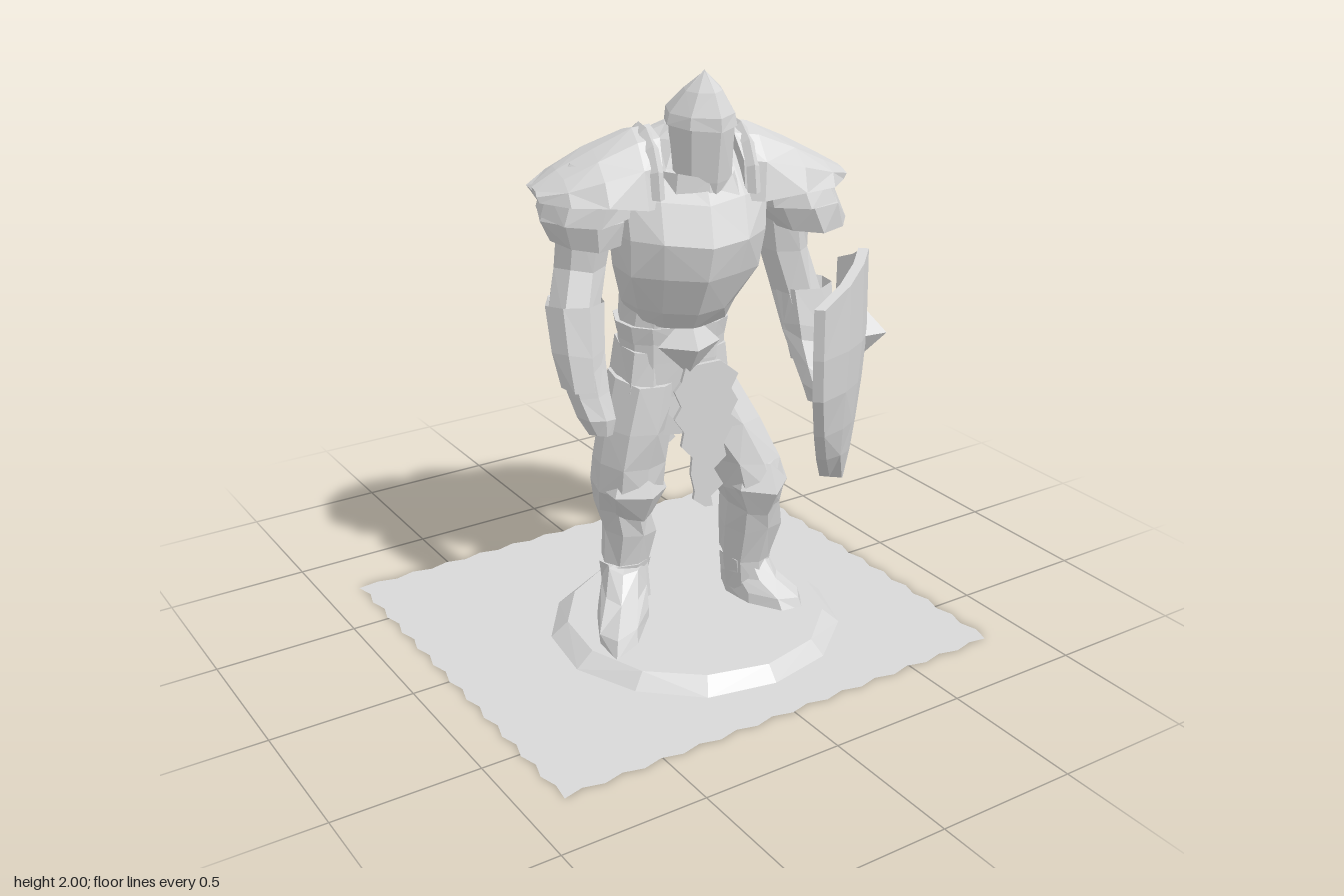
import * as THREE from 'three';

const stone = new THREE.MeshStandardMaterial({ color: 0xd8d8d8, flatShading: true, side: THREE.DoubleSide });
stone.name = 'grey stone';

// Small seeded generator for hand-hewn irregularity
let seed = 7;
const rnd = () => (seed = (seed * 16807) % 2147483647) / 2147483647 - 0.5;

function add(parent, name, geometry) {
  const m = new THREE.Mesh(geometry, stone);
  m.name = name;
  parent.add(m);
  return m;
}

function addGroup(parent, name, x, z, yaw) {
  const g = new THREE.Group();
  g.name = name;
  g.position.set(x, 0, z);
  g.rotation.y = yaw;
  parent.add(g);
  return g;
}

// Skin a list of closed point rings (bottom to top)
function skin(rings, caps = true) {
  const pos = [], idx = [], n = rings[0].length;
  rings.forEach(r => r.forEach(p => pos.push(...p)));
  for (let i = 0; i < rings.length - 1; i++) for (let k = 0; k < n; k++) {
    const a = i * n + k, b = i * n + (k + 1) % n;
    if ((i + k) % 2) idx.push(a, b, a + n, b, b + n, a + n);
    else idx.push(a, b, b + n, a, b + n, a + n);
  }
  if (caps) [0, rings.length - 1].forEach((i, top) => {
    const c = [0, 1, 2].map(j => rings[i].reduce((s, p) => s + p[j], 0) / n);
    const ci = pos.length / 3;
    pos.push(...c);
    for (let k = 0; k < n; k++) {
      const a = i * n + k, b = i * n + (k + 1) % n;
      top ? idx.push(a, b, ci) : idx.push(b, a, ci);
    }
  });
  const g = new THREE.BufferGeometry();
  g.setAttribute('position', new THREE.Float32BufferAttribute(pos, 3));
  g.setIndex(idx);
  const flat = g.toNonIndexed();
  flat.computeVertexNormals();
  return flat;
}

// Loft through level ovals [x, y, z, rx, rz]; ridge pulls the front point out, square < 1 makes ovals boxier
function loft(rows, { n = 8, caps = true, ridge = 0, rough = 0.12, square = 1 } = {}) {
  const bend = v => Math.sign(v) * Math.abs(v) ** square;
  return skin(rows.map(([x, y, z, rx, rz = rx]) => Array.from({ length: n }, (_, k) => {
    const a = k / n * Math.PI * 2, w = 1 + rnd() * rough;
    return [x + rx * w * bend(Math.sin(a)), y + rnd() * rough * 0.15,
      z + rz * w * bend(Math.cos(a)) + (k ? 0 : ridge * rz)];
  })), caps);
}

// Thin ragged sheet from half-widths [y, w]
function raggedCloth(rows, cx) {
  const pts = [];
  const side = (list, s) => list.forEach(([y, w], i) =>
    pts.push(new THREE.Vector2(cx + s * (w + (i % 2 ? 0.015 : -0.01)), y + rnd() * 0.02)));
  side(rows, 1);
  side([...rows].reverse(), -1);
  return new THREE.ExtrudeGeometry(new THREE.Shape(pts), { depth: 0.015, bevelEnabled: false });
}

function buildBase(g) {
  // Ground sheet with wavering edges
  const pts = [], corners = [[-0.86, -0.765], [0.85, -0.765], [0.85, 0.765], [-0.86, 0.765]];
  corners.forEach((c, i) => {
    const d = corners[(i + 1) % 4];
    for (let k = 0; k < 24; k++) {
      const t = k / 24, j = k % 2 ? 0.01 : -0.008;
      pts.push(new THREE.Vector2(c[0] + (d[0] - c[0]) * t + (i % 2 ? j : 0), c[1] + (d[1] - c[1]) * t + (i % 2 ? 0 : j)));
    }
  });
  add(g, 'groundSheet', new THREE.ShapeGeometry(new THREE.Shape(pts))).rotation.x = -Math.PI / 2;
  // Bevelled round plinth
  add(g, 'plinth', loft([[0.05, 0.003, 0.11, 0.52, 0.5], [0.05, 0.055, 0.11, 0.46, 0.45]], { n: 13, rough: 0.02 }));
}

function buildLegs(g) {
  const legs = {
    right: [[-0.115, 0.08, -0.09, 0.085, 0.09], [-0.115, 0.2, -0.1, 0.08, 0.085], [-0.1, 0.34, -0.09, 0.095, 0.105],
      [-0.13, 0.44, -0.085, 0.09, 0.11], [-0.14, 0.54, -0.03, 0.12, 0.14], [-0.14, 0.64, -0.02, 0.11, 0.135],
      [-0.12, 0.78, -0.01, 0.115, 0.14], [-0.09, 0.95, 0, 0.11, 0.14]],
    left: [[0.29, 0.08, 0.08, 0.08, 0.09], [0.28, 0.2, 0.085, 0.085, 0.09], [0.285, 0.35, 0.11, 0.105, 0.11],
      [0.26, 0.45, 0.14, 0.09, 0.11], [0.245, 0.54, 0.16, 0.115, 0.135], [0.225, 0.64, 0.15, 0.115, 0.13],
      [0.16, 0.78, 0.09, 0.125, 0.14], [0.1, 0.95, 0.03, 0.11, 0.14]],
  };
  for (const [side, rows] of Object.entries(legs)) {
    add(g, side + 'Leg', loft(rows, { n: 8, square: 0.85 }));
    // Pointed knee guard
    const [x, y, z, rx, rz] = rows[4];
    add(g, side + 'KneeGuard', loft([[x, y - 0.1, z + 0.04, 0.06], [x, y, z + 0.03, rx, rz * 0.9],
      [x, y + 0.1, z + 0.03, 0.08]], { n: 6, ridge: 0.1 }));
    // Boot with sloping toe and ankle cuff
    const right = side === 'right', reach = right ? 1.55 : 0.95;
    const foot = add(g, side + 'Boot', loft([[0, 0.04, 0.09, 0.095, 0.19], [0, 0.09, 0.08, 0.09, 0.165],
      [0, 0.14, 0.03, 0.08, 0.11], [0, 0.21, 0, 0.07, 0.08]].map(([x, y, z, rx, rz]) => [x, y, z * reach, rx, rz * reach])));
    foot.position.set(rows[0][0], 0, rows[0][2]);
    foot.rotation.y = right ? -0.62 : 0.35;
    add(g, side + 'AnkleCuff', loft([[rows[1][0], 0.16, rows[1][2], 0.085], [rows[1][0], 0.22, rows[1][2], 0.095]], { n: 7 }));
  }
}

function buildWaist(model) {
  const g = addGroup(model, 'waist', 0.01, 0.01, -0.2);
  add(g, 'hips', loft([[0.01, 0.76, 0.02, 0.15, 0.11], [0, 0.9, 0, 0.185, 0.13], [0, 1.02, 0, 0.18, 0.135],
    [0, 1.14, 0, 0.18, 0.14], [0, 1.24, 0.01, 0.17, 0.145]], { n: 12, square: 0.75, rough: 0.05 }));
  add(g, 'belt', loft([[0, 1.09, 0, 0.185, 0.142], [0, 1.15, 0, 0.195, 0.15]], { n: 12, square: 0.75, rough: 0.03 }));
  // Diamond belt plate
  const plate = add(g, 'beltPlate', new THREE.OctahedronGeometry(1));
  plate.scale.set(0.11, 0.11, 0.08);
  plate.position.set(0, 1.1, 0.17);
  // Hip guards
  for (const s of [-1, 1]) {
    add(g, s < 0 ? 'rightHipGuard' : 'leftHipGuard', loft([[s * 0.13, 0.79, 0.01, 0.09, 0.13],
      [s * 0.115, 0.92, 0, 0.09, 0.13], [s * 0.1, 1.06, 0, 0.085, 0.125]], { square: 0.8 }));
  }
  // Ragged loincloths
  const front = [[1.02, 0.06], [0.97, 0.1], [0.93, 0.1], [0.88, 0.1], [0.83, 0.1], [0.78, 0.09], [0.73, 0.075],
    [0.68, 0.06], [0.63, 0.04], [0.57, 0.05], [0.53, 0.03], [0.49, 0.012]];
  const f = add(g, 'frontLoincloth', raggedCloth(front, 0.06));
  f.position.z = 0.165;
  const b = add(g, 'backLoincloth', raggedCloth(front.map(([y, w]) => [y * 0.8 + 0.17, w * 1.2]), 0));
  b.position.z = -0.155;
}

function buildUpperBody(model) {
  const body = addGroup(model, 'upperBody', 0.06, 0.04, -0.28);
  // Ridged cuirass, tapering to the waist, with hunched back
  add(body, 'cuirass', loft([[-0.04, 1.16, 0.01, 0.16, 0.15], [-0.04, 1.23, 0.02, 0.195, 0.19], [-0.03, 1.36, 0.05, 0.24, 0.23],
    [-0.02, 1.48, 0.05, 0.26, 0.245], [-0.01, 1.6, 0.01, 0.265, 0.215], [0, 1.69, -0.03, 0.21, 0.17], [0, 1.77, -0.04, 0.13, 0.13],
    [0, 1.8, -0.03, 0.07, 0.08]], { n: 12, ridge: 0.16, rough: 0.06, square: 0.9 }));
  add(body, 'collar', loft([[0, 1.58, 0.07, 0.17, 0.17], [0, 1.68, 0.07, 0.14, 0.15]], { n: 9, caps: false }));

  for (const s of [-1, 1]) {
    const side = s < 0 ? 'right' : 'left';
    // Overlapping shoulder plates, lowest first
    const lames = [
      s < 0 ? [[0.35, 1.45, 0, 0.125, 0.17], [0.36, 1.53, 0, 0.145, 0.19], [0.34, 1.63, 0, 0.12, 0.16]]
        : [[0.41, 1.45, 0, 0.14, 0.18], [0.37, 1.54, 0, 0.145, 0.2], [0.34, 1.64, 0, 0.12, 0.16]],
      [[0.35, 1.54, 0, 0.165, 0.21], [0.33, 1.62, 0, 0.155, 0.2], [0.3, 1.7, 0, 0.1, 0.14]],
    ];
    lames.forEach((rows, i) => add(body, side + 'ShoulderPlate' + (i + 1),
      loft(rows.map(([x, ...r]) => [s * x, ...r]), { n: 9, caps: false, rough: 0.1 })));
    // Arched top plate running from the neck out to the shoulder point: [x, height, half depth, base]
    const arches = [[0.13, 0.23, 0.18, 1.58], [0.2, 0.22, 0.21, 1.58], [0.33, 0.14, 0.22, 1.6], [0.44, 0.08, 0.18, 1.6],
      [0.52, 0.03, 0.09, 1.6]];
    add(body, side + 'ShoulderTop', skin(arches.map(([x, h, d, y]) => Array.from({ length: 7 }, (_, k) => {
      const a = k / 6 * Math.PI;
      return [s * (x + rnd() * 0.015), y + h * Math.sin(a) ** 0.85, d * Math.cos(a)];
    }))));
    // Raised neck guard arching over the shoulder
    const guard = add(body, side + 'NeckGuard', new THREE.TorusGeometry(0.185, 0.022, 4, 7, Math.PI));
    guard.rotation.y = Math.PI / 2;
    guard.position.set(s * 0.16, 1.61, 0.01);
  }
}

function buildHead(model) {
  const head = addGroup(model, 'helmet', 0.035, 0.145, -0.15);
  add(head, 'visor', loft([[0, 1.6, 0, 0.09, 0.1], [0, 1.66, 0.01, 0.1, 0.105], [0, 1.85, 0, 0.105, 0.135]],
    { n: 8, ridge: 0.15, rough: 0.04 }));
  add(head, 'helmetCrown', loft([[0, 1.83, 0, 0.118, 0.142], [0, 1.87, 0, 0.11, 0.135], [0, 1.94, 0.02, 0.06, 0.075],
    [0, 2, 0.03, 0.003]], { n: 8, ridge: 0.12, rough: 0.04 }));
}

function buildArms(g) {
  const arms = {
    right: [[-0.32, 0.82, 0.1, 0.04], [-0.33, 0.88, 0.09, 0.065], [-0.345, 0.96, 0.06, 0.07], [-0.355, 1.08, 0.02, 0.085],
      [-0.335, 1.2, -0.05, 0.085, 0.1], [-0.29, 1.35, -0.08, 0.085, 0.095], [-0.27, 1.55, -0.06, 0.1]],
    left: [[0.43, 0.84, 0.3, 0.04], [0.44, 0.9, 0.29, 0.065], [0.44, 0.97, 0.25, 0.07], [0.45, 1.08, 0.19, 0.085],
      [0.44, 1.2, 0.13, 0.085, 0.1], [0.4, 1.35, 0.11, 0.085, 0.095], [0.37, 1.55, 0.12, 0.1]],
  };
  for (const [side, rows] of Object.entries(arms)) {
    add(g, side + 'Arm', loft(rows, { n: 7 }));
    // Flared gauntlet cuff
    const [x, , z] = rows[3];
    add(g, side + 'GauntletCuff', loft([[x, 0.98, z + 0.03, 0.075], [x, 1.1, z, 0.09],
      [x + 0.01, side === 'right' ? 1.25 : 1.22, z - 0.04, 0.1]], { n: 7, caps: false }));
  }
}

function buildShield(model) {
  const shield = addGroup(model, 'shield', 0.45, 0.35, 0.8);
  // Bowed board: each ring runs across the face and returns along the back
  const rows = [[0.565, 0.004, 0.045], [0.68, 0.14, 0.065], [0.8, 0.24, 0.08], [0.95, 0.32, 0.095],
    [1.1, 0.348, 0.105], [1.275, 0.36, 0.1]];
  const ts = [-1, -0.6, -0.25, 0, 0.25, 0.6, 1];
  add(shield, 'shieldBoard', skin(rows.map(([y, w, bulge], i) => {
    const point = (t, back) => [t * w, y + (i === 5 ? 0.125 * (1 - Math.abs(t)) : 0) - 0.025 * t * w / 0.36,
      bulge * (1 - t * t) - back];
    return [...ts.map(t => point(t, 0)), ...[...ts].reverse().map(t => point(t, 0.035))];
  }), false));
  // Closing strip along the peaked top edge
  const top = t => [t * 0.36, 1.275 + 0.125 * (1 - Math.abs(t)) - 0.025 * t, 0.1 * (1 - t * t)];
  add(shield, 'shieldTopEdge', skin([0, 0.035].map(b => ts.map(top).concat([...ts].reverse().map(top))
    .map(([x, y, z]) => [x, y, z - b])), false));
  // Pointed boss
  const boss = add(shield, 'shieldBoss', new THREE.ConeGeometry(0.06, 0.08, 4).rotateX(Math.PI / 2));
  boss.scale.y = 1.4;
  boss.position.set(0.03, 1.1, 0.13);
}

export function createModel() {
  seed = 7;
  const model = new THREE.Group();
  model.name = 'armouredGuardStatue';
  [buildBase, buildLegs, buildWaist, buildUpperBody, buildHead, buildArms, buildShield].forEach(build => build(model));
  return model;
}
